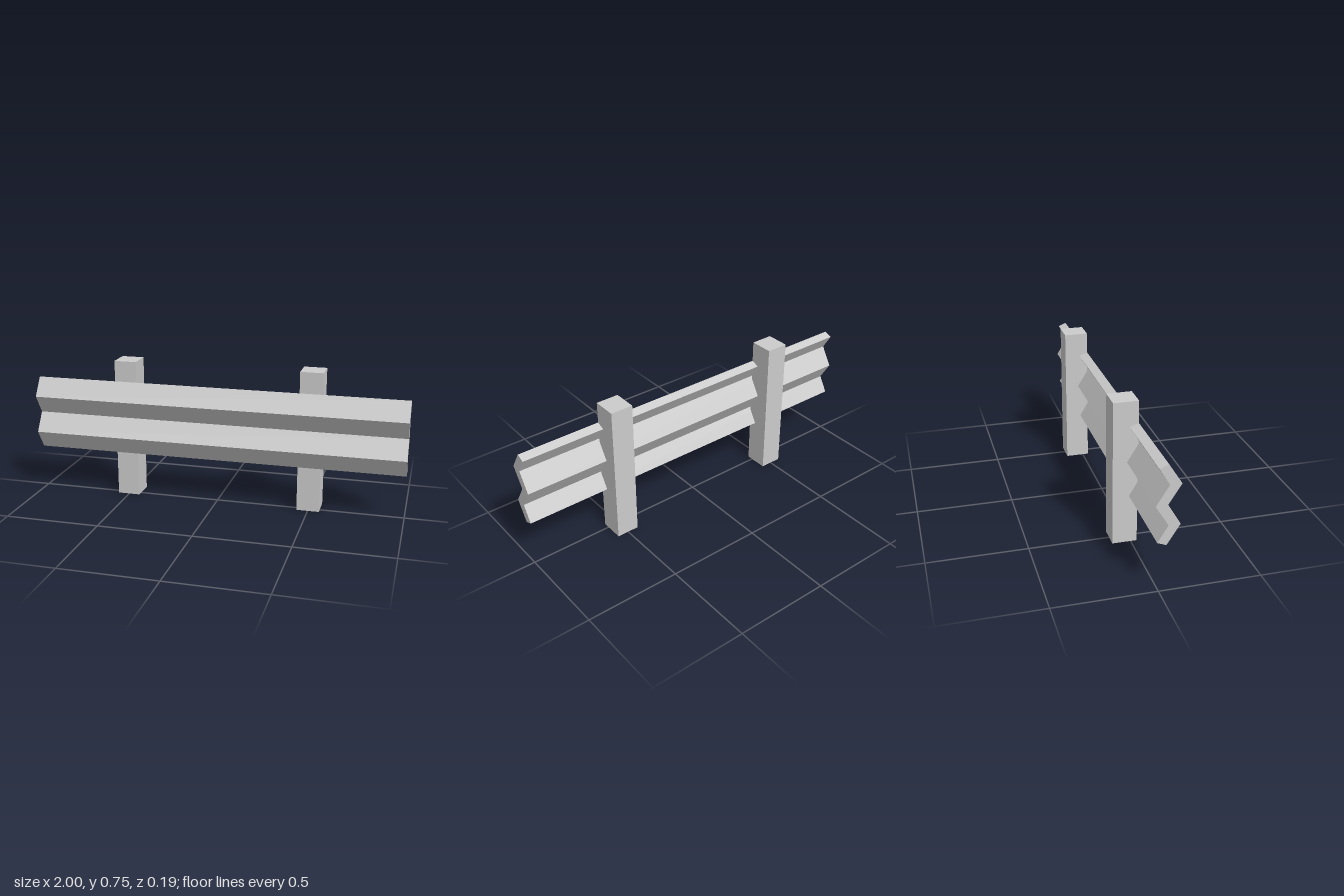
import * as THREE from 'three';

export function createModel() {
  const model = new THREE.Group();
  const material = new THREE.MeshStandardMaterial({ color: 0xcccccc, flatShading: true });

  // W-shaped rail: cross-section as (z, y), extruded along x
  const section = [
    [0.031, 0.239], [0.094, 0.339], [0.031, 0.439], [0.094, 0.539], [0.031, 0.638],
    [-0.012, 0.621], [0.038, 0.539], [-0.024, 0.439], [0.038, 0.339], [-0.012, 0.256],
  ];
  const shape = new THREE.Shape(section.map(([z, y]) => new THREE.Vector2(z, y)));
  const railGeometry = new THREE.ExtrudeGeometry(shape, { depth: 2, bevelEnabled: false });
  railGeometry.translate(0, 0, -1).rotateY(-Math.PI / 2);
  const rail = new THREE.Mesh(railGeometry, material);
  rail.name = 'rail';
  model.add(rail);

  // Square posts behind the rail
  const postGeometry = new THREE.BoxGeometry(0.12, 0.75, 0.125);
  for (const [name, x] of [['leftPost', 0.5], ['rightPost', -0.5]]) {
    const post = new THREE.Mesh(postGeometry, material);
    post.name = name;
    post.position.set(x, 0.375, -0.0315);
    model.add(post);
  }

  return model;
}
